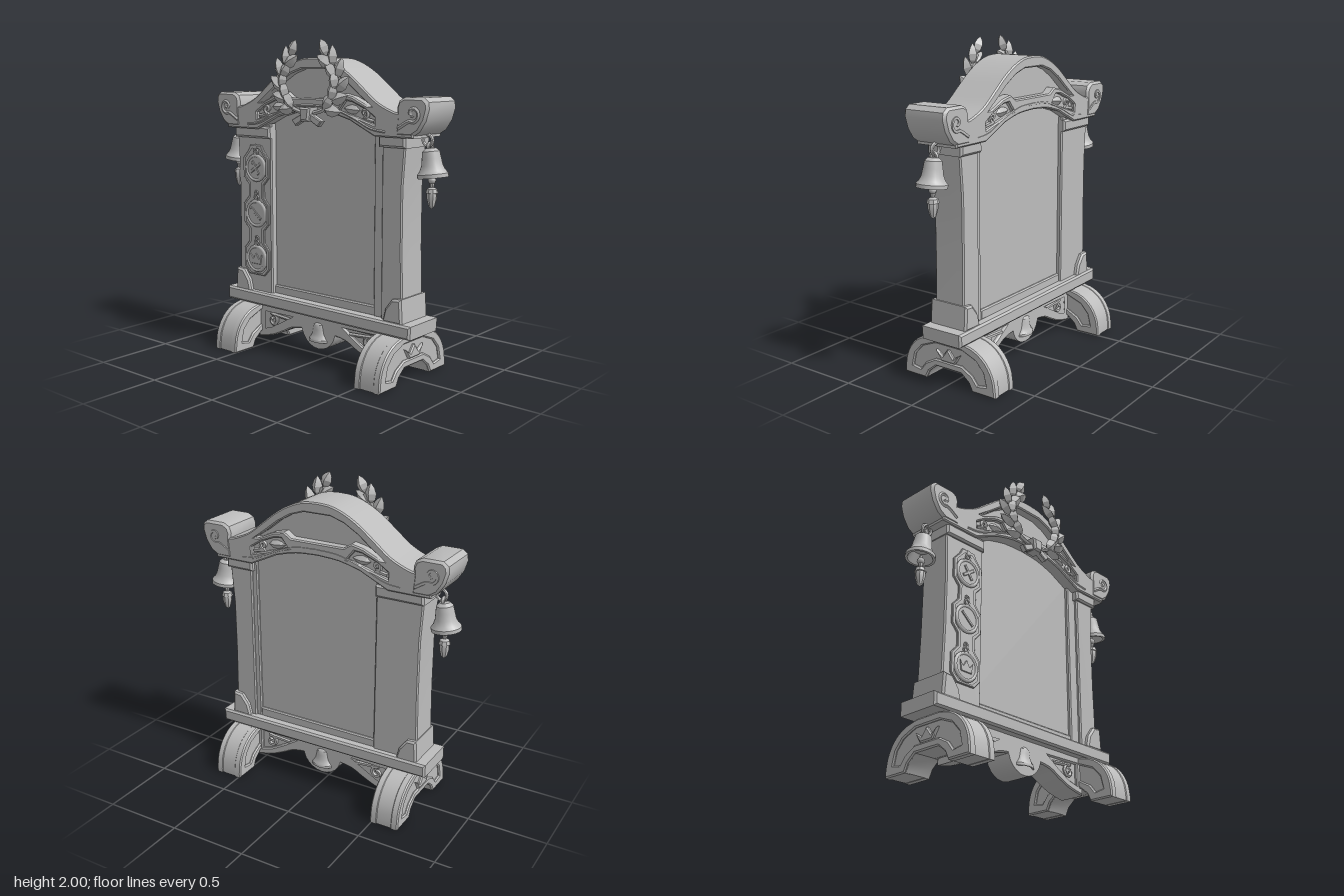
import * as THREE from 'three';
import { toCreasedNormals } from 'three/addons/utils/BufferGeometryUtils.js';

const stone = new THREE.MeshStandardMaterial({ color: 0xbcbcbc });
stone.name = 'stone grey';

const V2 = (p) => new THREE.Vector2(p[0], p[1]);
const flip = (pts) => pts.map(([x, y]) => [-x, y]);
// closes a right-hand half outline by mirroring it across x = 0
const both = (half) => [...half, ...flip(half).reverse()];
const smooth = (pts, n) => new THREE.SplineCurve(pts.map(V2)).getPoints(n).map((p) => [p.x, p.y]);

export function createModel() {
  const root = new THREE.Group();

  const add = (name, geo, x = 0, y = 0, z = 0, crease = 0.6, parent = root) => {
    const mesh = new THREE.Mesh(toCreasedNormals(geo, crease), stone);
    mesh.name = name;
    mesh.position.set(x, y, z);
    parent.add(mesh);
    return mesh;
  };

  // outline extruded between two depths with an inset bevel
  const slabGeo = (pts, z0, z1, b = 0.01, holes = []) => {
    const shape = new THREE.Shape(pts.map(V2));
    holes.forEach((h) => shape.holes.push(new THREE.Path(h.map(V2))));
    const geo = new THREE.ExtrudeGeometry(shape, {
      depth: z1 - z0 - 2 * b, bevelEnabled: b > 0, bevelSize: b, bevelThickness: b,
      bevelOffset: -b, bevelSegments: 1,
    });
    return geo.translate(0, 0, z0 + b);
  };
  const slab = (name, pts, z0, z1, b, holes) => add(name, slabGeo(pts, z0, z1, b, holes));
  const rect = (x0, x1, y0, y1) => [[x0, y0], [x1, y0], [x1, y1], [x0, y1]];

  const tube = (name, pts, r, n = 24) => add(name, new THREE.TubeGeometry(
    new THREE.CatmullRomCurve3(pts.map((p) => new THREE.Vector3(...p))), n, r, 5), 0, 0, 0, 1.2);

  // flat volute that unwinds into a tail point
  const volute = (name, cx, cy, r, side, z, start, tail) => {
    const pts = [];
    for (let i = 0; i <= 12; i++) {
      const a = start + i * 0.6, k = r * (1 - i / 14);
      pts.unshift([side * (cx + Math.cos(a) * k), cy + Math.sin(a) * k, z]);
    }
    pts.push([side * tail[0], tail[1], z]);
    tube(name, pts, 0.012, 36);
  };

  // four-sided pointed leaf, growing along +y
  const leafGeo = (len, w, t) => new THREE.LatheGeometry(
    [[0.001, 0], [w * 0.8, len * 0.22], [w, len * 0.5], [w * 0.65, len * 0.78], [0.001, len]].map(V2), 4)
    .scale(1, 1, t / w);

  // ---- arched feet ----
  const footOuter = [[0.34, 0], ...smooth([[0.34, 0.03], [0.325, 0.12], [0.275, 0.205], [0.195, 0.262], [0.09, 0.287]], 10)];
  const footInner = [[0.175, 0], [0.15, 0.05], [0.095, 0.095]];
  const foot = [...both(footOuter), ...flip(footInner), ...[...footInner].reverse()];
  const footCore = foot.map(([x, y]) => [x * 0.985, 0.002 + y * 0.985]);
  const band = both([[0.215, 0.05], [0.275, 0.06], [0.255, 0.14], [0.2, 0.2], [0.1, 0.24]])
    .concat([[-0.175, 0.1], [-0.1, 0.14], [0.1, 0.14], [0.175, 0.1]]);
  const crest = both([[0.05, 0.14], [0.09, 0.205], [0.04, 0.175], [0.005, 0.22]]);
  for (const cx of [-0.585, 0.578]) {
    const g = new THREE.Group();
    g.name = 'foot';
    g.position.x = cx;
    root.add(g);
    const part = (n, geo) => add(n, geo.rotateY(Math.PI / 2), 0, 0, 0, 0.6, g);
    part('footCore', slabGeo(footCore, -0.082, 0.082, 0));
    part('footCheek', slabGeo(foot, -0.095, -0.045, 0.008, [band]));
    part('footCheek', slabGeo(foot, 0.045, 0.095, 0.008, [band]));
    part('footCrest', slabGeo(crest, -0.1, 0.1, 0.008));
  }

  // ---- apron under the base board ----
  const apronLow = smooth([[0.52, 0.055], [0.4, 0.082], [0.3, 0.125], [0.2, 0.17], [0, 0.19]], 14);
  const apron = both([[0.52, 0.3], ...apronLow]);
  const apronHole = [[0.47, 0.245], [0.2, 0.245], [0.3, 0.185], [0.4, 0.13], [0.47, 0.11]];
  slab('apron', apron, -0.09, 0.09, 0.008, [apronHole, flip(apronHole)]);
  slab('apronCore', apron, -0.07, 0.07, 0);
  add('apronDisc', new THREE.CylinderGeometry(0.14, 0.14, 0.18, 24).rotateX(Math.PI / 2), 0, 0.212, 0);
  const bellProfile = [[0.001, 0.17], [0.03, 0.168], [0.05, 0.15], [0.056, 0.11], [0.062, 0.07], [0.075, 0.04],
    [0.09, 0.022], [0.09, 0], [0.075, 0], [0.045, 0.06], [0.001, 0.08]].reverse().map(V2);
  for (const z of [-1, 1]) {
    add('apronBell', new THREE.LatheGeometry(bellProfile, 16).scale(0.85, 0.72, 0.55), 0, 0.122, z * 0.075);
    for (const s of [-1, 1]) volute('apronVolute', 0.4, 0.185, 0.045, s, z * 0.078, 1.2, [0.25, 0.215]);
  }

  // ---- base board ----
  slab('baseBoard', [[-0.755, 0.29], [0.735, 0.283], [0.74, 0.365], [-0.755, 0.375]], -0.148, 0.148, 0.012);

  // ---- centre panel and its frame ----
  slab('centrePanel', rect(-0.5, 0.52, 0.36, 1.58), -0.077, 0.062, 0);
  slab('bottomRail', rect(-0.4, 0.47, 0.36, 0.425), -0.092, 0.077, 0.008);
  slab('innerStrip', [[0.43, 0.36], [0.52, 0.36], [0.52, 1.47], [0.43, 1.49]], 0, 0.085, 0.008);
  slab('innerStripBack', [[0.465, 0.36], [0.52, 0.36], [0.52, 1.47], [0.465, 1.48]], -0.092, 0, 0.008);

  // ---- pillars, with a slight waist ----
  const pillarSide = (bottom, mid, top) => [[bottom, 0.36], [mid, 0.8], [mid, 1.15], [top, 1.42]];
  slab('rightPillar', [[0.5, 1.42], [0.5, 0.36], ...pillarSide(0.655, 0.645, 0.665)], -0.105, 0.105, 0.008);
  slab('leftPillar', flip([[0.38, 1.48], [0.38, 0.36], ...pillarSide(0.68, 0.67, 0.685), [0.685, 1.48]]).reverse(),
    -0.105, 0.105, 0.008);
  slab('capital', rect(0.485, 0.675, 1.385, 1.46), -0.125, 0.125, 0.012);
  slab('capital', rect(-0.69, -0.38, 1.385, 1.46), -0.125, 0.125, 0.012);
  const plinth = [[0.53, 0.36], [0.672, 0.36], [0.662, 0.51], [0.6, 0.505], [0.55, 0.44]];
  slab('pillarPlinth', plinth, -0.135, 0.135, 0.012);
  slab('pillarPlinth', flip(plinth).reverse().map(([x, y]) => [x - 0.02, y]), -0.135, 0.135, 0.012);

  // ---- medallion frame on the left pillar ----
  const mx = -0.51, rows = [1.19, 0.89, 0.59];
  const contour = (o) => {
    const half = [[0.03 + o, 1.32 + o]];
    for (const y of rows) {
      half.push([0.05 + o, y + 0.11], [0.095 + o, y + 0.06], [0.095 + o, y - 0.06], [0.05 + o, y - 0.1 - o * 0.5]);
    }
    return both(half).map(([x, y]) => [x + mx, y]);
  };
  slab('medallionFrame', contour(0.018), 0.1, 0.118, 0.004, [contour(0)]);
  const emblems = [
    [rect(-0.05, 0.05, -0.01, 0.01), rect(-0.01, 0.01, -0.05, 0.05)],
    [rect(-0.055, 0.055, -0.009, 0.009)],
    [both([[0.04, -0.035], [0.05, 0.03], [0.025, 0], [0.004, 0.035]])],
  ];
  rows.forEach((y, i) => {
    add('medallion', new THREE.CylinderGeometry(0.078, 0.08, 0.02, 18).rotateX(Math.PI / 2), mx, y, 0.108);
    add('medallionRim', new THREE.TorusGeometry(0.08, 0.012, 6, 20), mx, y, 0.113, 1.2);
    add('medallionLoop', new THREE.TorusGeometry(0.018, 0.007, 5, 10), mx, y + 0.105, 0.113, 1.2);
    add('medallionHook', new THREE.TorusGeometry(0.013, 0.006, 5, 10), mx, y + 0.135, 0.113, 1.2);
    for (const e of emblems[i]) {
      add('medallionRelief', slabGeo(e, 0.115, 0.124, 0.003), mx, y, 0).rotation.z = [0.6, -0.7, 0][i];
    }
  });

  // ---- arched header: pierced face, shallow rail backing, deeper tympanum backing ----
  const crown = smooth([[0.66, 1.585], [0.6, 1.593], [0.487, 1.643], [0.38, 1.725], [0.28, 1.802],
    [0.18, 1.858], [0.09, 1.888], [0, 1.895]], 24);
  const lower = smooth([[0.29, 1.53], [0.15, 1.565], [0, 1.575]], 6).reverse();
  const railLow = [...lower, [0.32, 1.515], [0.47, 1.445]];
  const header = both([...railLow, [0.74, 1.445], [0.74, 1.55], ...crown]);
  const tympanum = both([[0.18, 1.652], [0.23, 1.685], [0.31, 1.668], [0.42, 1.618], [0.45, 1.615],
    [0.36, 1.675], [0.27, 1.745], [0.18, 1.798], [0.09, 1.827]]);
  const spandrel = [[0.2, 1.585], [0.32, 1.555], [0.47, 1.51], [0.47, 1.555], [0.4, 1.6], [0.3, 1.64], [0.25, 1.645]];
  slab('header', header, -0.143, 0.143, 0.008, [tympanum, spandrel, flip(spandrel)]);
  slab('tympanumPanel', both([[0.2, 1.6], [0.55, 1.59], [0.36, 1.72], [0.2, 1.83], [0.06, 1.86]]), -0.085, 0.085, 0);
  slab('railCore', both([...railLow, [0.6, 1.48], [0.5, 1.58], [0.31, 1.655], [0.22, 1.67], [0.18, 1.64]]), -0.115, 0.115, 0);
  const scroll = [[0.62, 1.455], [0.73, 1.455], [0.78, 1.485], [0.82, 1.545], [0.84, 1.61], [0.836, 1.65],
    [0.805, 1.675], [0.68, 1.675], [0.64, 1.655], [0.625, 1.615], [0.63, 1.57]];
  for (const s of [-1, 1]) {
    slab('headerScroll', s > 0 ? scroll : flip(scroll).reverse(), -0.147, 0.147, 0.015);
    for (const z of [-1, 1]) {
      volute('scrollVolute', 0.74, 1.585, 0.05, s, z * 0.143, 4.2, [0.64, 1.5]);
      volute('spandrelVolute', 0.39, 1.575, 0.03, s, z * 0.122, 4.4, [0.46, 1.53]);
      const leaf = add('spandrelLeaf', leafGeo(0.12, 0.028, 0.02), s * 0.35, 1.59, z * 0.12, 0.3);
      leaf.rotation.z = s * 1.5;
      tube('headerMoulding', [[0.55, 1.475], [0.45, 1.488], [0.31, 1.548], [0.15, 1.6], [0, 1.61]]
        .map(([x, y]) => [s * x, y, z * 0.14]), 0.008);
    }
  }

  // ---- laurel wreath ----
  for (const s of [-1, 1]) {
    const path = [[0.02, 1.56], [0.13, 1.595], [0.205, 1.68], [0.215, 1.78], [0.145, 1.9]];
    tube('wreathStem', path.map(([x, y]) => [s * x, y, 0.175]), 0.014);
    const curve = new THREE.SplineCurve(path.map(V2));
    for (let i = 0; i <= 5; i++) {
      const t = 0.22 + i * 0.156, p = curve.getPointAt(t), d = curve.getTangentAt(t);
      for (const k of i === 5 ? [-0.1] : [-0.55, 0.45]) {
        const leaf = add('wreathLeaf', leafGeo(i === 5 ? 0.112 : 0.13, 0.038, 0.032), s * p.x, p.y, 0.18 + k * 0.012, 0.3);
        leaf.rotation.z = s * (Math.atan2(-d.x, d.y) + k);
      }
    }
    const tail = [[0.01, 1.53], [0.09, 1.485], [0.12, 1.52], [0.03, 1.565]];
    slab('ribbonTail', s > 0 ? tail : flip(tail).reverse(), 0.16, 0.2, 0.006);
  }
  slab('ribbonKnot', [[-0.032, 1.515], [0.032, 1.515], [0.042, 1.6], [-0.042, 1.6]], 0.13, 0.222, 0.012);

  // ---- hanging bells with acorn pendants ----
  const acorn = [[0.001, 0], [0.018, 0.015], [0.03, 0.06], [0.03, 0.09], [0.037, 0.092],
    [0.03, 0.115], [0.012, 0.125], [0.016, 0.145], [0.01, 0.2], [0.001, 0.2]].map(V2);
  for (const s of [-1, 1]) {
    const x = s * 0.778;
    add('bellHook', new THREE.TorusGeometry(0.032, 0.011, 6, 14), s * 0.745, 1.43, 0, 1.2);
    add('bellRing', new THREE.TorusGeometry(0.022, 0.01, 6, 12).rotateY(Math.PI / 2), s * 0.762, 1.395, 0, 1.2);
    add('bell', new THREE.LatheGeometry(bellProfile, 20), s * 0.785, 1.22, 0).rotation.z = s * 0.12;
    add('bellPendant', new THREE.LatheGeometry(acorn, 8), x, 1.04, 0, 0.5);
    add('bellClapper', new THREE.SphereGeometry(0.024, 8, 6), x, 1.205, 0, 1.2);
  }

  return root;
}
